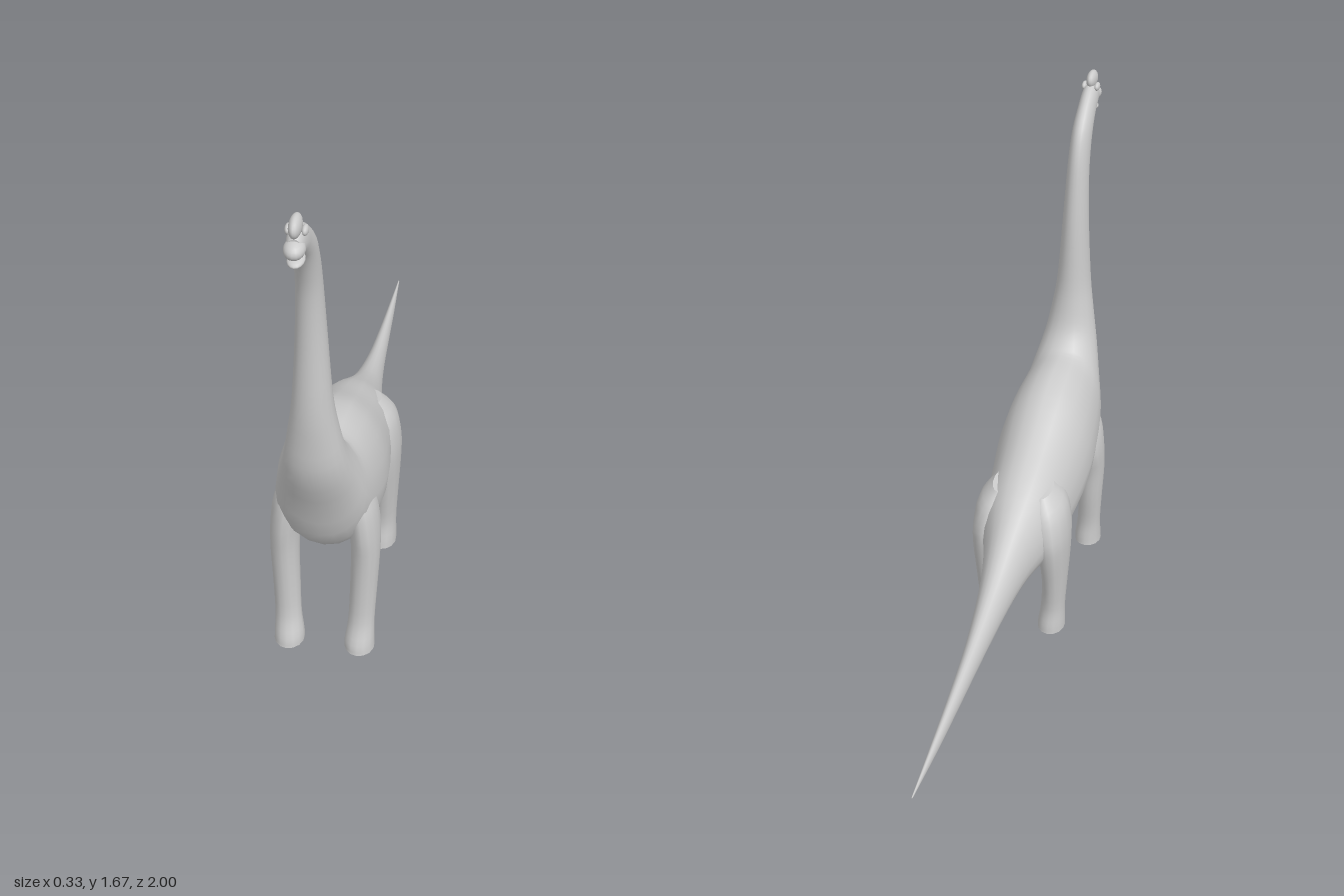
import * as THREE from 'three';

const material = new THREE.MeshStandardMaterial({ color: 0xcccccc, side: THREE.DoubleSide });

// Smooth skin over rings [backZ, backY, bellyZ, bellyY, halfWidth, centreX];
// mid is where between belly and back the ring is widest.
function loft(name, rings, { sides = 20, steps = 3, mid = 0.5 } = {}) {
  const curve = (f) => new THREE.CatmullRomCurve3(rings.map(f), false, 'catmullrom', 0.5);
  const back = curve((r) => new THREE.Vector3(r[5] ?? 0, r[1], r[0]));
  const belly = curve((r) => new THREE.Vector3(r[5] ?? 0, r[3], r[2]));
  const width = curve((r) => new THREE.Vector3(r[4], 0, 0));
  const rows = (rings.length - 1) * steps;
  const pos = [];
  const index = [];
  const centre = new THREE.Vector3();
  const p = new THREE.Vector3();
  for (let i = 0; i <= rows; i++) {
    const t = i / rows;
    const top = back.getPoint(t);
    const bottom = belly.getPoint(t);
    const w = width.getPoint(t).x;
    centre.lerpVectors(bottom, top, mid);
    for (let j = 0; j < sides; j++) {
      const a = (j / sides) * Math.PI * 2;
      const c = Math.cos(a);
      p.lerpVectors(centre, c > 0 ? top : bottom, Math.abs(c));
      pos.push(p.x + w * Math.sin(a), p.y, p.z);
    }
  }
  for (let i = 0; i < rows; i++) {
    for (let j = 0; j < sides; j++) {
      const k = (j + 1) % sides;
      const a = i * sides;
      const b = a + sides;
      index.push(a + j, b + j, a + k, a + k, b + j, b + k);
    }
  }
  // End caps on their own vertices, so their rims stay sharp
  for (const row of [0, rows]) {
    const start = pos.length / 3;
    const sum = [0, 0, 0];
    for (let n = 0; n < sides * 3; n++) {
      const v = pos[row * sides * 3 + n];
      pos.push(v);
      sum[n % 3] += v / sides;
    }
    pos.push(...sum);
    for (let j = 0; j < sides; j++) {
      const a = start + j;
      const b = start + ((j + 1) % sides);
      index.push(start + sides, ...(row === 0 ? [a, b] : [b, a]));
    }
  }
  const geo = new THREE.BufferGeometry();
  geo.setAttribute('position', new THREE.Float32BufferAttribute(pos, 3));
  geo.setIndex(index);
  geo.computeVertexNormals();
  const mesh = new THREE.Mesh(geo, material);
  mesh.name = name;
  return mesh;
}

function ellipsoid(name, [x, y, z], [rx, ry, rz], tilt = 0) {
  const mesh = new THREE.Mesh(new THREE.SphereGeometry(1, 16, 12), material);
  mesh.name = name;
  mesh.position.set(x, y, z);
  mesh.scale.set(rx, ry, rz);
  mesh.rotation.x = tilt;
  return mesh;
}

// Tail tip to tail root, along the trunk, then up the neck to the skull
const tailAndTrunk = [
  [-1, 0.282, -1, 0.278, 0.002],
  [-0.8, 0.305, -0.8, 0.264, 0.012],
  [-0.6, 0.33, -0.6, 0.264, 0.021],
  [-0.4, 0.366, -0.4, 0.27, 0.032],
  [-0.2, 0.43, -0.2, 0.283, 0.052],
  [-0.04, 0.515, -0.05, 0.285, 0.08],
  [0.1, 0.598, 0.1, 0.27, 0.125],
  [0.25, 0.67, 0.25, 0.26, 0.145],
  [0.4, 0.748, 0.4, 0.278, 0.16],
  [0.51, 0.776, 0.53, 0.315, 0.155],
];
const chestAndNeck = [
  [0.6, 0.782, 0.665, 0.41, 0.138],
  [0.635, 0.802, 0.735, 0.58, 0.115],
  [0.668, 0.85, 0.8, 0.74, 0.09],
  [0.69, 0.93, 0.815, 0.87, 0.071],
  [0.702, 1.02, 0.82, 1.0, 0.056],
  [0.712, 1.2, 0.815, 1.2, 0.044],
  [0.73, 1.36, 0.822, 1.35, 0.037],
  [0.75, 1.46, 0.845, 1.44, 0.034],
  [0.785, 1.535, 0.875, 1.5, 0.032],
  [0.85, 1.595, 0.905, 1.53, 0.029],
  [0.905, 1.628, 0.925, 1.545, 0.028],
  [0.945, 1.632, 0.948, 1.556, 0.025],
  [0.968, 1.615, 0.968, 1.565, 0.02],
];

// Legs from sole to the muscle that merges into the flank
const frontLeg = [
  [0.58, 0, 0.69, 0, 0.046, 0.108],
  [0.582, 0.03, 0.684, 0.03, 0.045, 0.108],
  [0.584, 0.1, 0.66, 0.1, 0.04, 0.112],
  [0.565, 0.22, 0.656, 0.22, 0.041, 0.117],
  [0.548, 0.34, 0.66, 0.34, 0.043, 0.121],
  [0.515, 0.44, 0.668, 0.43, 0.045, 0.118],
  [0.52, 0.53, 0.665, 0.53, 0.045, 0.105],
  [0.55, 0.61, 0.64, 0.61, 0.03, 0.085],
];
const hindLeg = [
  [0.078, 0, 0.195, 0, 0.046, 0.105],
  [0.08, 0.03, 0.192, 0.03, 0.045, 0.106],
  [0.086, 0.1, 0.184, 0.1, 0.04, 0.11],
  [0.065, 0.22, 0.207, 0.22, 0.042, 0.114],
  [0.035, 0.34, 0.238, 0.34, 0.05, 0.112],
  [0.025, 0.42, 0.25, 0.43, 0.055, 0.106],
  [0.045, 0.5, 0.24, 0.52, 0.055, 0.09],
  [0.09, 0.56, 0.2, 0.58, 0.03, 0.07],
];

export function createModel() {
  const model = new THREE.Group();
  model.name = 'longNeckedDinosaur';
  model.add(loft('body', [...tailAndTrunk, ...chestAndNeck], { mid: 0.44 }));

  // Four legs
  for (const [side, s] of [['left', 1], ['right', -1]]) {
    for (const [part, rings] of [['FrontLeg', frontLeg], ['HindLeg', hindLeg]]) {
      const sided = rings.map((r) => [...r.slice(0, 5), r[5] * s]);
      model.add(loft(side + part, sided, { sides: 14 }));
    }
  }

  // Head: domed crest, snout, open lower jaw, brows
  const head = new THREE.Group();
  head.name = 'head';
  head.add(
    ellipsoid('crest', [0, 1.64, 0.945], [0.017, 0.028, 0.042], 0.08),
    ellipsoid('snout', [0, 1.586, 0.963], [0.028, 0.024, 0.037], 0.15),
    ellipsoid('lowerJaw', [0, 1.546, 0.945], [0.023, 0.011, 0.036], 0.15),
  );
  for (const s of [1, -1]) {
    head.add(ellipsoid(s > 0 ? 'leftBrow' : 'rightBrow', [0.021 * s, 1.622, 0.93], [0.009, 0.013, 0.02]));
  }
  model.add(head);
  return model;
}
